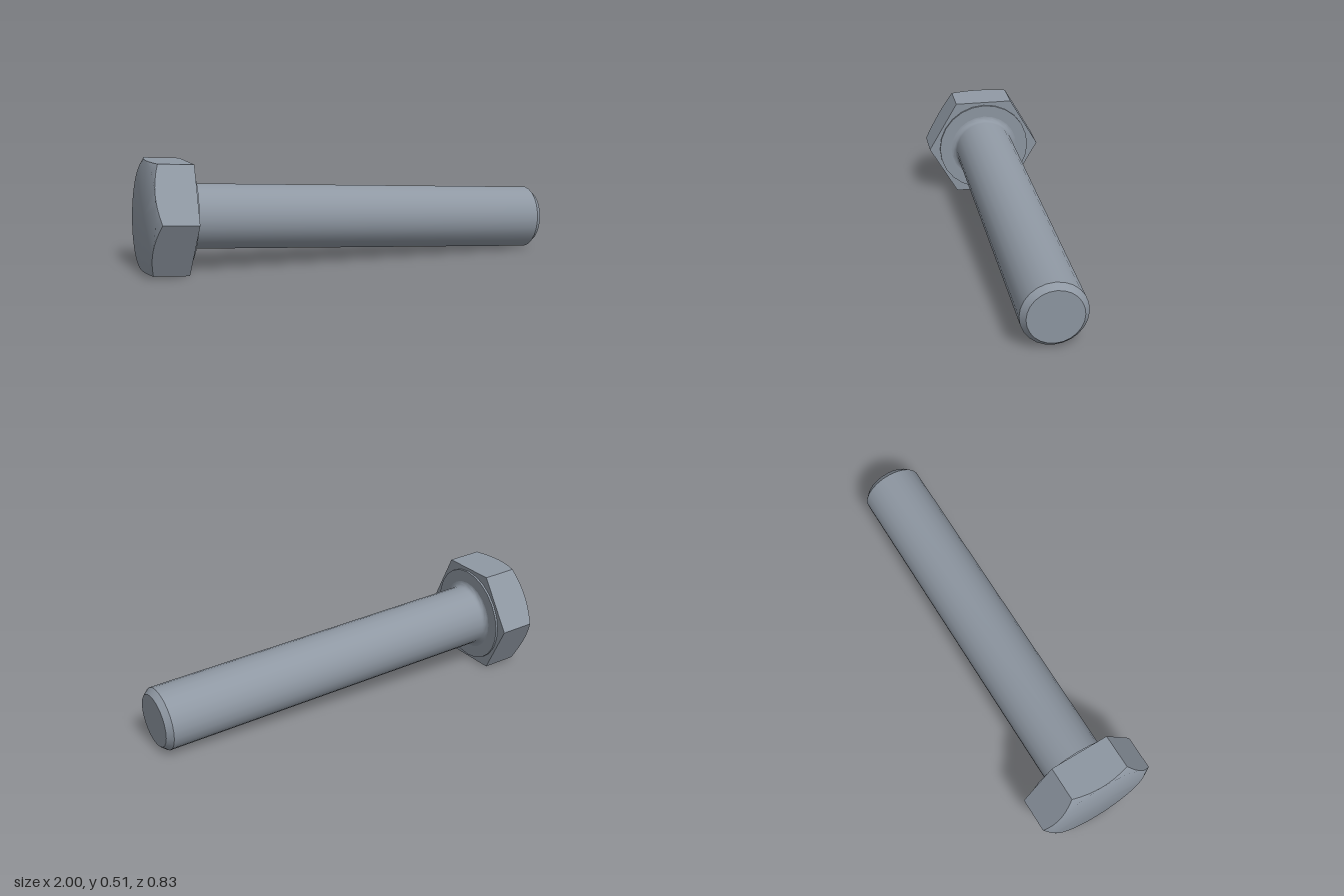
import * as THREE from 'three';
import { toCreasedNormals } from 'three/addons/utils/BufferGeometryUtils.js';

const INNER = 0.251; // half the distance across the head's flats
const OUTER = INNER / Math.cos(Math.PI / 6);

// Surface of revolution about +y, keeping edges sharper than the crease angle
function turned(points, segments, crease, reshape) {
  const geo = new THREE.LatheGeometry(points.map(([r, y]) => new THREE.Vector2(r, y)), segments);
  if (reshape) reshape(geo.attributes.position);
  return toCreasedNormals(geo, crease);
}

// Push the outer rings out to a hexagon; the rear edge follows the conical chamfer
function makeHex(pos) {
  for (let i = 0; i < pos.count; i++) {
    const x = pos.getX(i), y = pos.getY(i), z = pos.getZ(i);
    if (Math.hypot(x, z) < 0.25) continue;
    const phi = Math.atan2(x, z);
    const step = Math.PI / 3;
    const r = INNER / Math.cos(phi - step * Math.round(phi / step));
    const drop = y < -0.1 ? 0.022 * (OUTER - r) / (OUTER - INNER) : 0;
    pos.setXYZ(i, r * Math.sin(phi), y - drop, r * Math.cos(phi));
  }
}

export function createModel() {
  const steel = new THREE.MeshStandardMaterial({ color: 0x8f98a3 });
  steel.name = 'steel grey';
  const bolt = new THREE.Group();
  bolt.name = 'bolt';

  // Hexagonal head with a chamfered rear face
  const head = new THREE.Mesh(turned([
    [0, -0.189], [0.249, -0.189], [0.26, -0.166], [0.26, 0], [0, 0],
  ], 48, 0.7, makeHex), steel);
  head.name = 'hexHead';

  // Thin round bearing face under the head
  const washer = new THREE.Mesh(turned([
    [0.236, -0.002], [0.236, 0.01], [0.16, 0.01],
  ], 24, 0.5), steel);
  washer.name = 'washerFace';

  // Shank with a root fillet and a chamfered tip
  const profile = [];
  for (let i = 0; i <= 4; i++) {
    const a = i / 4 * Math.PI / 2;
    profile.push([0.175 - 0.025 * Math.sin(a), 0.035 - 0.025 * Math.cos(a)]);
  }
  profile.push([0.15, 1.752], [0.126, 1.78], [0, 1.78]);
  const shank = new THREE.Mesh(turned(profile, 24, 0.5), steel);
  shank.name = 'shank';
  bolt.add(head, washer, shank);

  // Lay the bolt down so it rests on the head's lower flat and the tip
  const axis = new THREE.Vector3(0.976, -0.057, 0.21).normalize();
  const side = new THREE.Vector3(-axis.z, 0, axis.x).normalize();
  const third = new THREE.Vector3().crossVectors(side, axis);
  bolt.quaternion.setFromRotationMatrix(new THREE.Matrix4().makeBasis(side, axis, third));
  bolt.position.set(-0.765, 0.253, -0.098);

  const model = new THREE.Group();
  model.name = 'hexBolt';
  model.add(bolt);
  return model;
}
